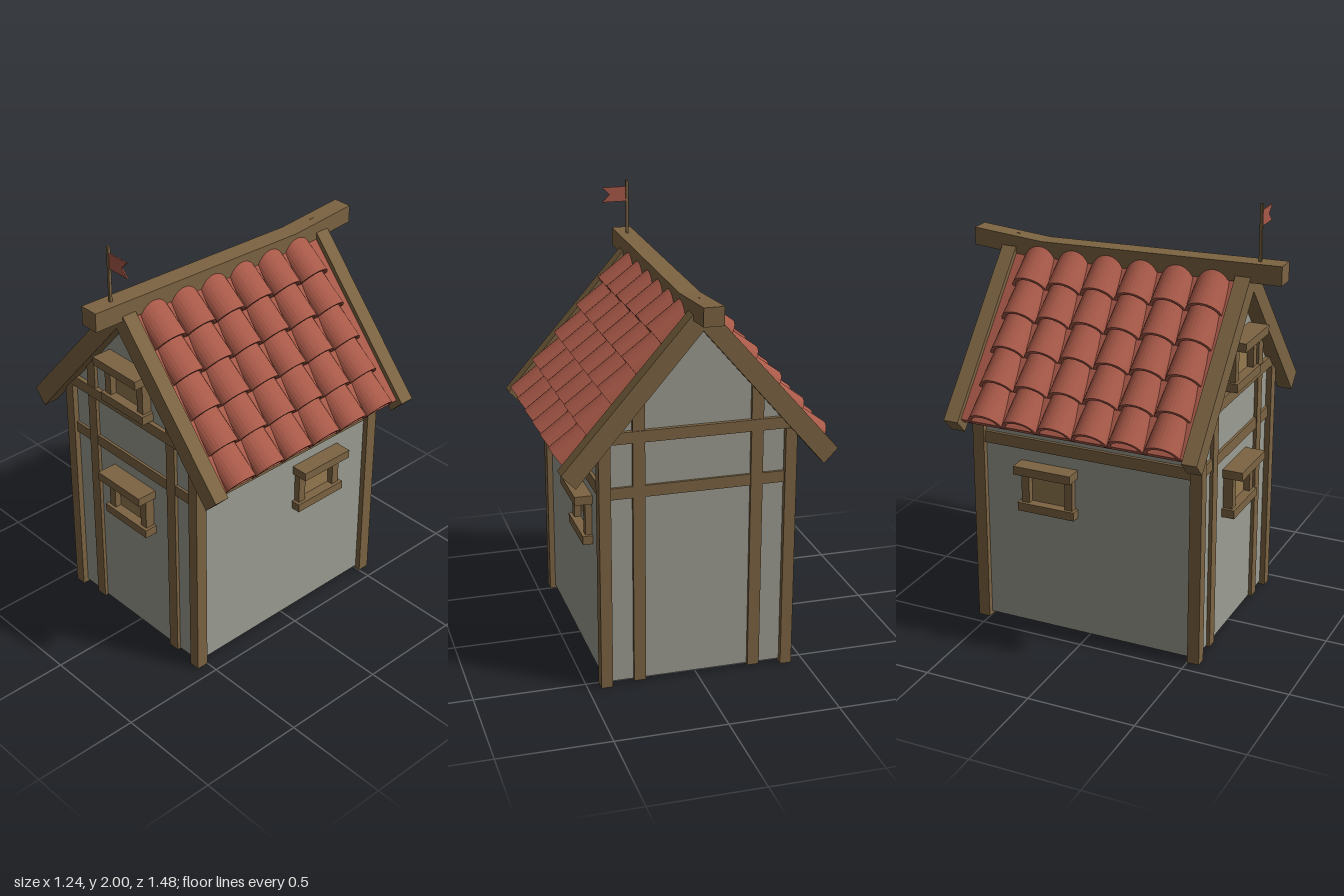
import * as THREE from 'three';

const mat = (color, opts = {}) => new THREE.MeshStandardMaterial({ color, ...opts });
const WOOD = mat(0x7c6442, { flatShading: true });
const PANEL = mat(0x957a50);
const WALL = mat(0x9c9d93, { side: THREE.DoubleSide });
const TILE = mat(0xa85948);
const CLOTH = mat(0xa85948, { side: THREE.DoubleSide });

function add(parent, name, geometry, material) {
  const mesh = new THREE.Mesh(geometry, material);
  mesh.name = name;
  parent.add(mesh);
  return mesh;
}

// Box given by its minimum and maximum on each axis
function box(parent, name, [x0, x1], [y0, y1], [z0, z1], material = WOOD) {
  const mesh = add(parent, name, new THREE.BoxGeometry(x1 - x0, y1 - y0, z1 - z0), material);
  mesh.position.set((x0 + x1) / 2, (y0 + y1) / 2, (z0 + z1) / 2);
  return mesh;
}

const polygon = (points) => new THREE.Shape(points.map(([x, y]) => new THREE.Vector2(x, y)));

// Polygon in x/y extruded from z0 to z1
function slab(points, z0, z1) {
  const geometry = new THREE.ExtrudeGeometry(polygon(points), { depth: z1 - z0, bevelEnabled: false });
  return geometry.translate(0, 0, z0);
}

// Shuttered window, facing +z, with its back on z = 0
function makeWindow(name) {
  const g = new THREE.Group();
  g.name = name;
  box(g, 'windowPanel', [-0.09, 0.09], [-0.08, 0.08], [-0.01, 0.015], PANEL);
  box(g, 'windowLintel', [-0.14, 0.14], [0.075, 0.115], [-0.01, 0.095]);
  box(g, 'windowSill', [-0.14, 0.14], [-0.115, -0.075], [-0.01, 0.06]);
  for (const s of [-1, 1]) {
    box(g, 'windowJamb', [s * 0.107 - 0.019, s * 0.107 + 0.019], [-0.08, 0.08], [-0.01, 0.045]);
  }
  return g;
}

// Hollow half-round roof tile, running along +z
function tileGeometry() {
  const arch = new THREE.Shape();
  arch.absellipse(0, 0, 0.083, 0.075, 0, Math.PI, false, 0);
  arch.lineTo(-0.069, 0);
  arch.absellipse(0, 0, 0.069, 0.06, Math.PI, 0, true, 0);
  arch.closePath();
  return new THREE.ExtrudeGeometry(arch, { depth: 0.185, bevelEnabled: false, curveSegments: 8 });
}

// Tiles of the +x roof slope
function makeTiles(zShift) {
  const g = new THREE.Group();
  g.name = 'roofTiles';
  const geometry = tileGeometry();
  const tilt = 0.64, c = Math.cos(tilt), s = Math.sin(tilt);
  const basis = new THREE.Matrix4().makeBasis(
    new THREE.Vector3(0, 0, -1), new THREE.Vector3(s, c, 0), new THREE.Vector3(c, -s, 0));
  for (let row = 0; row < 5; row++) {
    for (let col = 0; col < 6; col++) {
      const tile = add(g, 'roofTile', geometry, TILE);
      tile.quaternion.setFromRotationMatrix(basis);
      tile.position.set(
        0.575 - row * 0.1075 - c * 0.185,
        1.03 + row * 0.125 + s * 0.185,
        (col - 2.5) * 0.168 + zShift);
    }
  }
  return g;
}

export function createModel() {
  const model = new THREE.Group();
  model.name = 'house';

  // Walls, open underneath
  const gable = [[-0.415, 0.015], [0.415, 0.015], [0.415, 1.16], [0, 1.65], [-0.415, 1.16]];
  for (const s of [-1, 1]) {
    add(model, 'gableWall', new THREE.ShapeGeometry(polygon(gable)), WALL).position.z = s * 0.53;
    const side = add(model, 'sideWall', new THREE.PlaneGeometry(1.06, 1.145), WALL);
    side.position.set(s * 0.415, 0.5875, 0);
    side.rotation.y = s * Math.PI / 2;
  }

  // Timber frame, the same on both gables
  for (const turn of [0, Math.PI]) {
    const frame = new THREE.Group();
    frame.name = 'timberFrame';
    frame.rotation.y = turn;
    model.add(frame);
    for (const s of [-1, 1]) {
      box(frame, 'cornerPost', [s * 0.415 - 0.026, s * 0.415 + 0.026], [0, 1.13], [0.5, 0.556]);
      box(frame, 'gablePost', [s * 0.263 - 0.027, s * 0.263 + 0.027], [0.01, 1.34], [0.505, 0.546]);
    }
    box(frame, 'middleRail', [-0.4, 0.4], [0.88, 0.932], [0.51, 0.542]);
    box(frame, 'upperBeam', [-0.42, 0.42], [1.13, 1.182], [0.505, 0.55]);
    box(frame, 'sideRail', [0.395, 0.43], [0.88, 0.935], [-0.51, 0.51]);

    // Sloping boards along the gable edge
    for (const s of [-1, 1]) {
      const board = [[0, 1.61], [s * 0.55, 0.97], [s * 0.612, 1.035], [0, 1.735]];
      add(frame, 'bargeBoard', slab(board, 0.53, 0.6), WOOD);
    }
  }

  // Roof slopes with tiles
  for (const s of [-1, 1]) {
    const deck = [[0, 1.665], [s * 0.56, 1.02], [s * 0.58, 1.04], [0, 1.7]];
    add(model, 'roofDeck', slab(deck, -0.535, 0.535), TILE);
    const tiles = makeTiles(s * 0.01);
    tiles.rotation.y = s > 0 ? 0 : Math.PI;
    model.add(tiles);
  }

  // Sagging ridge beam: profile of -z against y, turned to run along z
  const ridge = [[-0.74, 1.663], [0.4, 1.642], [0.74, 1.668], [0.74, 1.75], [0.4, 1.722], [-0.74, 1.75]];
  add(model, 'ridgeBeam', slab(ridge, -0.045, 0.045), WOOD).rotation.y = Math.PI / 2;

  // Windows
  for (const y of [0.705, 1.305]) {
    const front = makeWindow('frontWindow');
    front.position.set(0, y, 0.53);
    model.add(front);
  }
  for (const s of [-1, 1]) {
    const side = makeWindow('sideWindow');
    side.position.set(s * 0.4, 0.705, -0.185);
    side.rotation.y = s * Math.PI / 2;
    model.add(side);
  }

  // Flag on its pole
  box(model, 'flagPole', [-0.006, 0.006], [1.72, 2], [0.619, 0.631]);
  const flag = [[0, 1.9], [0.12, 1.9], [0.085, 1.935], [0.12, 1.97], [0, 1.97]];
  add(model, 'flag', slab(flag, 0.622, 0.628), CLOTH);

  return model;
}
